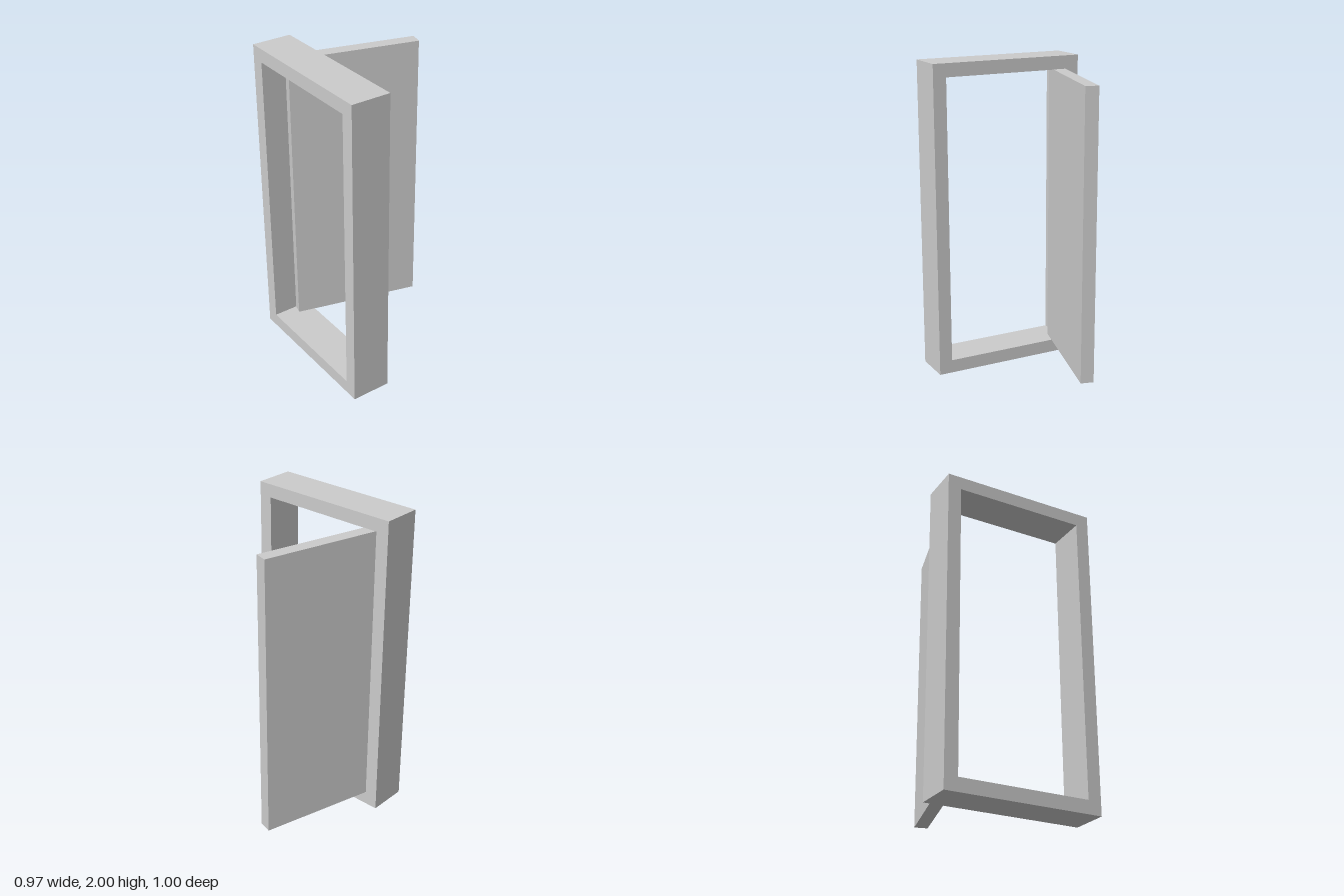
import * as THREE from 'three';

export function createModel() {
  const group = new THREE.Group();
  const material = new THREE.MeshStandardMaterial({ color: 0xcccccc, flatShading: true });

  // Upright rectangular frame with a rectangular opening
  const depth = 0.25, border = 0.085;
  const outline = new THREE.Shape([
    new THREE.Vector2(-0.5, 0), new THREE.Vector2(0.5, 0),
    new THREE.Vector2(0.5, 2), new THREE.Vector2(-0.5, 2),
  ]);
  const w = 0.5 - border, top = 2 - border;
  outline.holes.push(new THREE.Path([
    new THREE.Vector2(-w, border), new THREE.Vector2(-w, top),
    new THREE.Vector2(w, top), new THREE.Vector2(w, border),
  ]));
  const frame = new THREE.Mesh(
    new THREE.ExtrudeGeometry(outline, { depth, bevelEnabled: false }), material);
  frame.name = 'doorFrame';
  frame.rotation.y = Math.PI / 2;
  frame.position.x = -0.485;
  group.add(frame);

  // Door leaf, swung open with its hinge edge set into the rear jamb
  const hinge = new THREE.Group();
  hinge.name = 'doorHinge';
  hinge.position.set(-0.332, 1, -0.392);
  hinge.rotation.y = -THREE.MathUtils.degToRad(15);
  const leaf = new THREE.Mesh(new THREE.BoxGeometry(0.83, 1.832, 0.083), material);
  leaf.name = 'doorLeaf';
  leaf.position.x = 0.415;
  hinge.add(leaf);
  group.add(hinge);

  return group;
}
